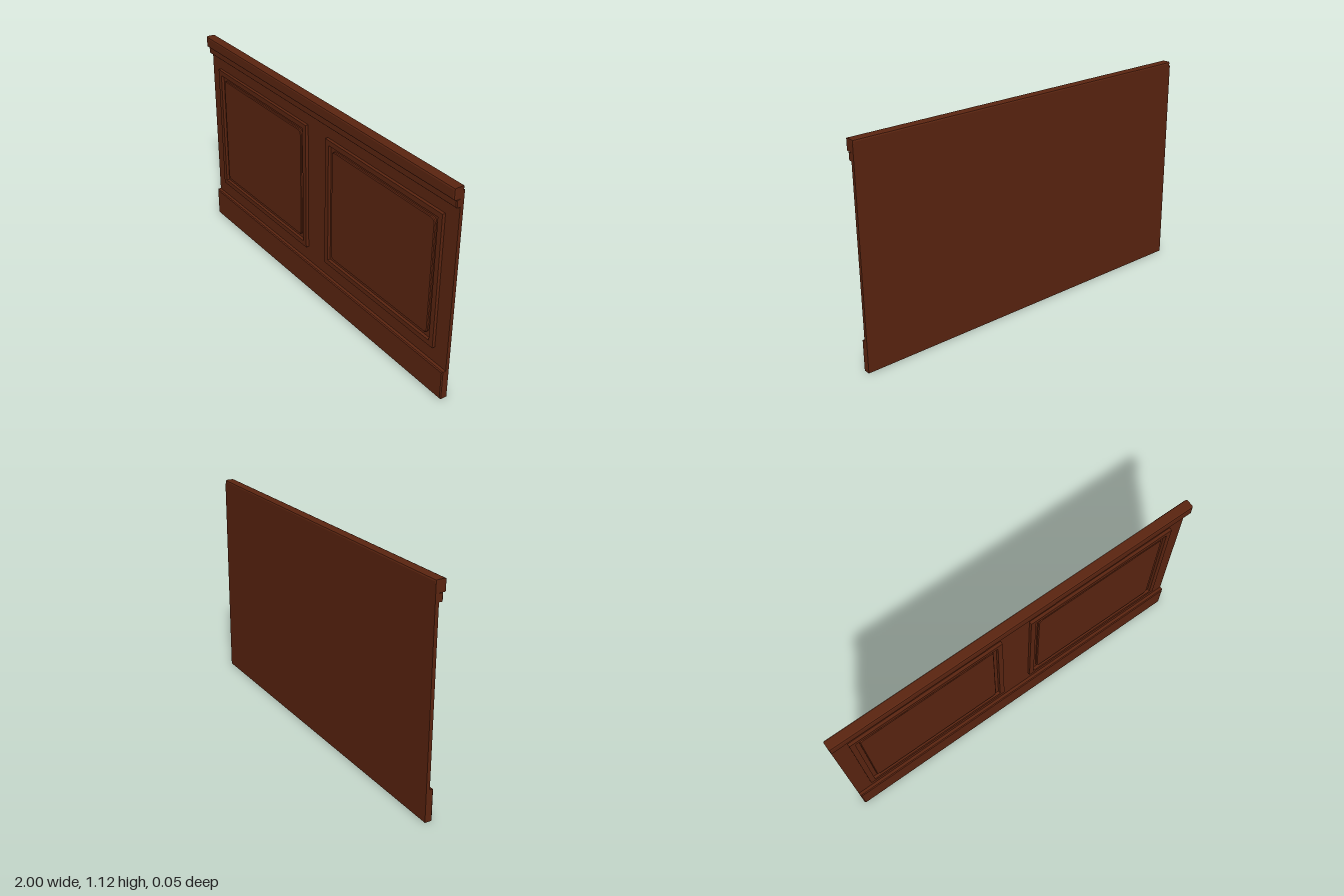
import * as THREE from 'three';

// Rectangle outline, optionally with rounded corners
function rectangle(PathType, w, h, r = 0) {
  const p = new PathType();
  const x = w / 2, y = h / 2;
  p.moveTo(-x + r, -y);
  p.lineTo(x - r, -y);
  if (r) p.absarc(x - r, -y + r, r, -Math.PI / 2, 0);
  p.lineTo(x, y - r);
  if (r) p.absarc(x - r, y - r, r, 0, Math.PI / 2);
  p.lineTo(-x + r, y);
  if (r) p.absarc(-x + r, y - r, r, Math.PI / 2, Math.PI);
  p.lineTo(-x, -y + r);
  if (r) p.absarc(-x + r, -y + r, r, Math.PI, Math.PI * 1.5);
  p.closePath();
  return p;
}

// Board with bevelled edges, given by its outer limits
function board(x0, x1, y0, y1, z0, z1, bevel, { radius = 0, segments = 1 } = {}) {
  const shape = rectangle(THREE.Shape, x1 - x0 - 2 * bevel, y1 - y0 - 2 * bevel, radius);
  const geometry = new THREE.ExtrudeGeometry(shape, {
    depth: z1 - z0 - 2 * bevel,
    bevelEnabled: bevel > 0,
    bevelSize: bevel,
    bevelThickness: bevel,
    bevelSegments: segments,
    curveSegments: 5,
  });
  return geometry.translate((x0 + x1) / 2, (y0 + y1) / 2, z0 + bevel);
}

export function createModel() {
  const model = new THREE.Group();
  model.name = 'wallPanelling';
  const wood = new THREE.MeshStandardMaterial({ color: 0x5a2410 });
  wood.name = 'dark wood';

  const add = (name, geometry, parent = model) => {
    const mesh = new THREE.Mesh(geometry, wood);
    mesh.name = name;
    parent.add(mesh);
  };

  // Backing and horizontal mouldings
  add('backing', board(-1, 1, 0, 1.1, -0.027, -0.009, 0));
  add('skirting', board(-1, 1, 0, 0.16, -0.02, 0.012, 0.005));
  add('lowerMoulding', board(-1, 1, 1.022, 1.06, -0.02, 0.012, 0.004));
  add('chairRail', board(-1, 1, 1.062, 1.12, -0.027, 0.027, 0.009, { segments: 2 }));

  // Two framed fields with raised centres
  for (const side of [-1, 1]) {
    const field = new THREE.Group();
    field.name = side < 0 ? 'rightField' : 'leftField';
    field.position.set(side * 0.5, 0.598, 0);
    model.add(field);

    const frame = rectangle(THREE.Shape, 0.836, 0.708);
    frame.holes.push(rectangle(THREE.Path, 0.782, 0.654));
    const frameGeometry = new THREE.ExtrudeGeometry(frame, { depth: 0.02, bevelEnabled: false });
    add('fieldFrame', frameGeometry.translate(0, 0, -0.013), field);

    add('raisedPanel',
      board(-0.37, 0.37, -0.306, 0.306, -0.02, 0.003, 0.004, { radius: 0.02 }), field);
  }
  return model;
}
